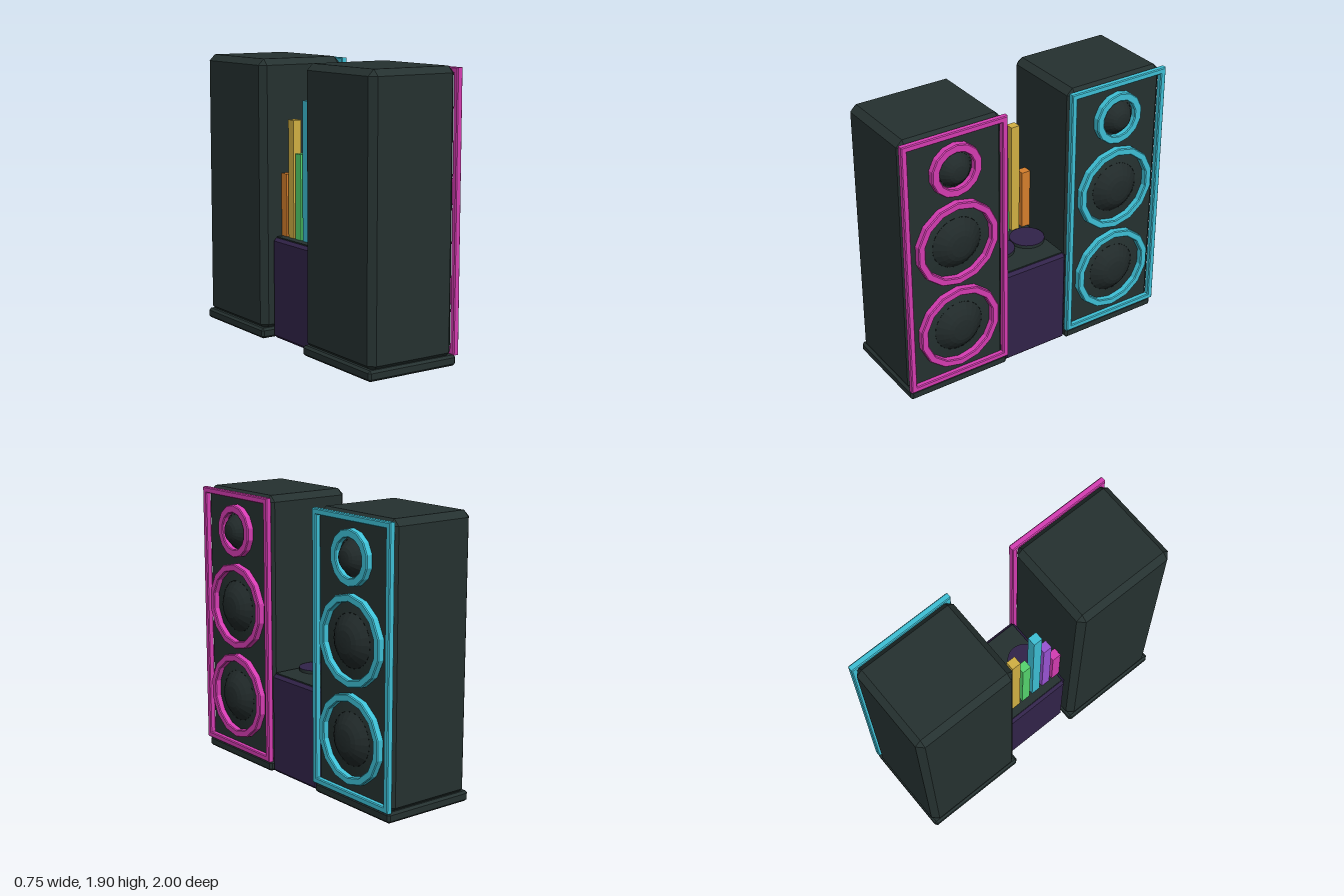
import * as THREE from 'three';
import { ConvexGeometry } from 'three/addons/geometries/ConvexGeometry.js';

const mat = (name, color) => {
  const m = new THREE.MeshStandardMaterial({ color });
  m.name = name;
  return m;
};

// Box with every edge cut at 45 degrees by c
function chamferBox(w, h, d, c) {
  const pts = [];
  for (const sx of [-1, 1]) for (const sy of [-1, 1]) for (const sz of [-1, 1]) {
    for (let axis = 0; axis < 3; axis++) {
      const cut = [c, c, c];
      cut[axis] = 0;
      pts.push(new THREE.Vector3(sx * (w / 2 - cut[0]), sy * (h / 2 - cut[1]), sz * (d / 2 - cut[2])));
    }
  }
  return new ConvexGeometry(pts);
}

// Polygon with a corner at the top
function polygon(r, sides, Type = THREE.Shape) {
  const pts = [];
  for (let i = 0; i < sides; i++) {
    const a = Math.PI / 2 + (i / sides) * Math.PI * 2;
    pts.push(new THREE.Vector2(r * Math.cos(a), r * Math.sin(a)));
  }
  return new Type(pts);
}

function rectangle(w, h, Type = THREE.Shape) {
  return new Type([[-w, -h], [w, -h], [w, h], [-w, h]].map(([x, y]) => new THREE.Vector2(x / 2, y / 2)));
}

// Extrude an outline with a hole so that it faces +x
function facingPlate(outline, hole, depth, bevel) {
  outline.holes.push(hole);
  const g = new THREE.ExtrudeGeometry(outline, {
    depth: depth - 2 * bevel, bevelEnabled: bevel > 0, bevelSize: bevel,
    bevelThickness: bevel, bevelOffset: -bevel, bevelSegments: 1,
  });
  return g.translate(0, 0, bevel).rotateY(Math.PI / 2);
}

// Faceted turned surface whose axis points to +x
function turned(profile, sides) {
  const g = new THREE.LatheGeometry(profile.map(([r, x]) => new THREE.Vector2(r, x)), sides)
    .rotateZ(-Math.PI / 2).toNonIndexed();
  g.computeVertexNormals();
  return g;
}

export function createModel() {
  const model = new THREE.Group();
  model.name = 'speakerSet';
  const charcoal = mat('charcoal', 0x253130);
  const cone = mat('cone black', 0x212a2a);
  const purple = mat('deep purple', 0x312349);
  const magenta = mat('magenta', 0xd53cb2);
  const cyan = mat('cyan', 0x3ec0d6);
  const violet = mat('violet', 0x9a54d4);
  const green = mat('green', 0x55d46e);
  const gold = mat('gold', 0xd2b043);
  const orange = mat('orange', 0xd67f2c);

  const add = (parent, name, geometry, material, x, y, z) => {
    const mesh = new THREE.Mesh(geometry, material);
    mesh.name = name;
    mesh.position.set(x, y, z);
    parent.add(mesh);
    return mesh;
  };

  // One driver: coloured ring, surround and domed centre
  function driver(parent, name, y, outer, inner, dome, trim) {
    const g = new THREE.Group();
    g.name = name;
    g.position.set(0, y, 0);
    parent.add(g);
    add(g, name + 'Ring', facingPlate(polygon(outer, 14), polygon(inner, 14, THREE.Path), 0.05, 0.006), trim, 0.283, 0, 0);
    add(g, name + 'Surround', turned([[inner + 0.01, 0], [dome, 0.012]], 28), charcoal, 0.289, 0, 0);
    add(g, name + 'Dome', turned([
      [dome, 0.012], [dome * 0.78, 0.045], [dome * 0.6, 0.066], [dome * 0.42, 0.077], [dome * 0.2, 0.081], [0, 0.082],
    ], 20), cone, 0.289, 0, 0);
  }

  // Tower speaker facing +x
  function tower(name, z, trim) {
    const g = new THREE.Group();
    g.name = name;
    g.position.z = z;
    model.add(g);
    add(g, 'base', chamferBox(0.68, 0.07, 0.75, 0.015), charcoal, -0.034, 0.035, 0);
    add(g, 'cabinet', chamferBox(0.65, 1.85, 0.74, 0.042), charcoal, -0.036, 0.975, 0);
    add(g, 'frontFrame', facingPlate(rectangle(0.755, 1.82), rectangle(0.675, 1.74, THREE.Path), 0.042, 0.006), trim, 0.28, 0.98, 0);
    driver(g, 'tweeter', 1.625, 0.182, 0.127, 0.115, trim);
    driver(g, 'midWoofer', 1.1, 0.3, 0.25, 0.178, trim);
    driver(g, 'lowWoofer', 0.46, 0.3, 0.25, 0.178, trim);
  }
  tower('leftTower', 0.622, magenta);
  tower('rightTower', -0.622, cyan);

  // Central console with a dark deck and two turntables
  add(model, 'console', chamferBox(0.575, 0.695, 0.5, 0.02), purple, 0, 0.3475, 0);
  add(model, 'consoleDeck', new THREE.BoxGeometry(0.53, 0.012, 0.46), charcoal, 0, 0.697, 0);
  for (const z of [-0.122, 0.122]) {
    add(model, 'platter', new THREE.CylinderGeometry(0.12, 0.12, 0.02, 28), charcoal, 0, 0.712, z);
    add(model, 'platterTop', new THREE.CylinderGeometry(0.12, 0.12, 0.004, 28), purple, 0, 0.724, z);
  }

  // Row of level bars behind the turntables
  const bars = [[magenta, 1.06], [violet, 1.35], [cyan, 1.64], [green, 1.28], [gold, 1.5], [orange, 1.13]];
  bars.forEach(([material, top], i) => {
    const h = top - 0.7;
    add(model, 'levelBar', new THREE.BoxGeometry(0.06, h, 0.064), material, -0.182, 0.7 + h / 2, 0.217 - i * 0.0868);
  });
  return model;
}
